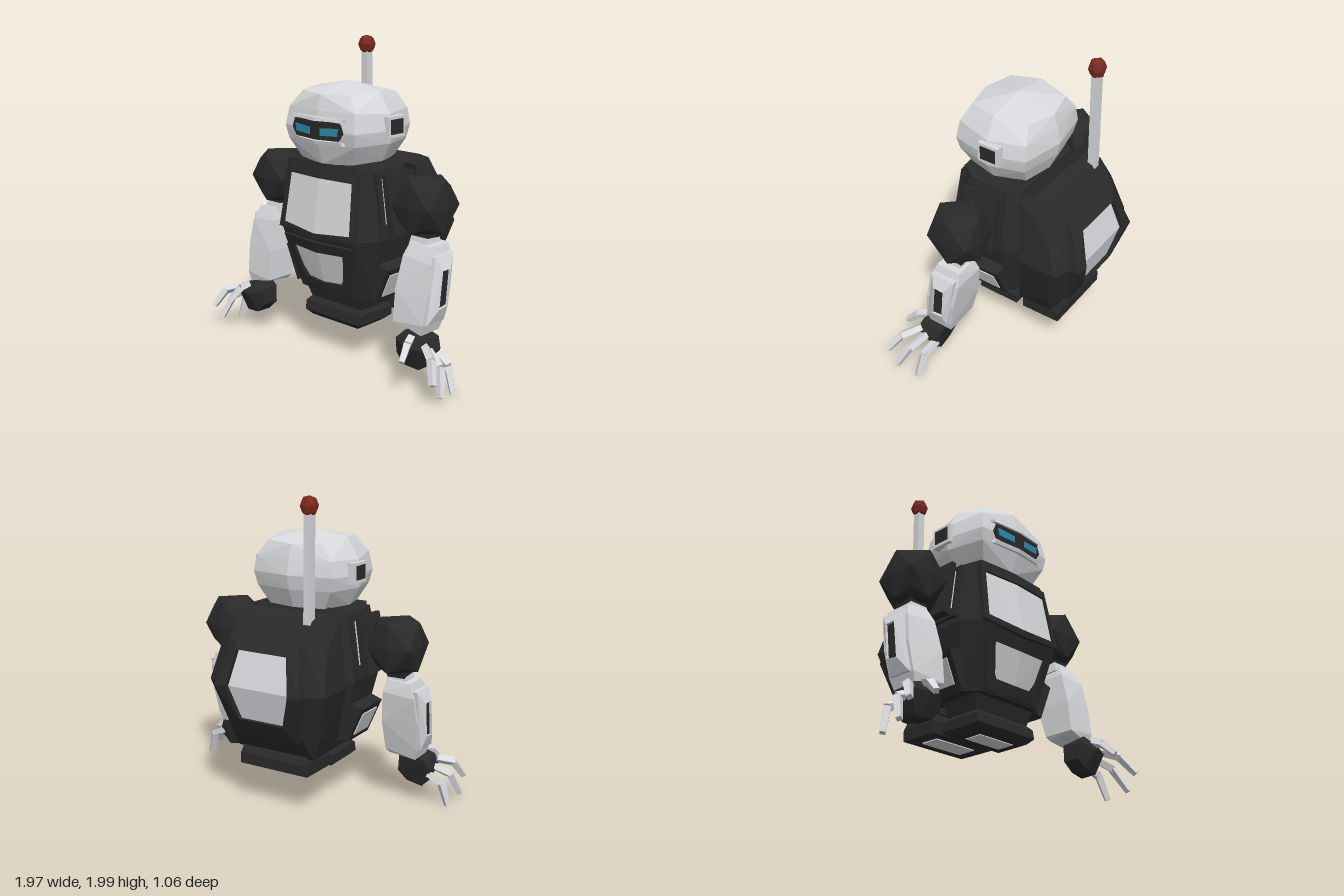
import * as THREE from 'three';
import { ConvexGeometry } from 'three/addons/geometries/ConvexGeometry.js';

const mat = (name, color) => Object.assign(new THREE.MeshStandardMaterial({ color }), { name });
const white = mat('shell white', 0xd8dadd);
const dark = mat('charcoal', 0x2a2a2a);
const red = mat('beacon red', 0x7d2a20);
const blue = mat('eye blue', 0x2a8cac);

const V = (p) => new THREE.Vector3(...p);
const mirror = (pts) => pts.concat(pts.map(([x, y, z]) => [-x, y, z]));
const flip = (pts, s) => pts.map(([x, y, z]) => [x * s, y, z]);

export function createModel() {
  const model = new THREE.Group();
  const body = new THREE.Group();
  body.name = 'robot';
  body.position.x = -0.025;
  model.add(body);

  function add(name, geometry, material, pos) {
    const mesh = new THREE.Mesh(geometry, material);
    mesh.name = name;
    if (pos) mesh.position.set(...pos);
    body.add(mesh);
    return mesh;
  }
  // Angular solid from its corner points
  const hull = (name, pts, material, pos) => add(name, new ConvexGeometry(pts.map(V)), material, pos);
  // Plate on a surface, raised by t along direction n
  function slab(name, pts, n, t, material) {
    const d = V(n).normalize();
    const both = pts.flatMap((p) => [V(p).addScaledVector(d, t), V(p).addScaledVector(d, -0.02)]);
    return add(name, new ConvexGeometry(both), material);
  }
  // Raised border between two matching outlines
  function frame(name, outer, inner, n, t, material, skip = -1) {
    outer.forEach((p, i) => {
      const j = (i + 1) % outer.length;
      if (i !== skip) slab(name, [p, outer[j], inner[j], inner[i]], n, t, material);
    });
  }
  // Faceted ball: face centres, edge middles and corners at their own reach
  function knob(name, half, edge, corner, material, pos) {
    const reach = [0, 1, edge, corner];
    const pts = [];
    for (const x of [-1, 0, 1]) for (const y of [-1, 0, 1]) for (const z of [-1, 0, 1]) {
      const r = reach[Math.abs(x) + Math.abs(y) + Math.abs(z)];
      if (r) pts.push([x * r * half[0], y * r * half[1], z * r * half[2]]);
    }
    return hull(name, pts, material, pos);
  }
  // Square tapered bar between two points
  function bar(name, a, b, ra, rb, material) {
    const d = V(b).sub(V(a));
    const g = new THREE.CylinderGeometry(rb, ra, d.length(), 4).rotateY(Math.PI / 4).toNonIndexed();
    g.computeVertexNormals();
    const m = add(name, g, material);
    m.position.copy(V(a).addScaledVector(d, 0.5));
    m.quaternion.setFromUnitVectors(new THREE.Vector3(0, 1, 0), d.normalize());
  }

  // Head, built from rings running crown to chin
  hull('head', mirror([[0, 1.757, 0.13],
    [0.255, 1.712, 0.13], [0.2, 1.7, 0.33], [0, 1.695, 0.385], [0.2, 1.69, -0.08], [0, 1.68, -0.13],
    [0.335, 1.58, 0.13], [0.275, 1.6, 0.375], [0, 1.6, 0.41], [0.27, 1.59, -0.11], [0, 1.59, -0.155],
    [0.353, 1.48, 0.13], [0.295, 1.48, 0.395], [0, 1.49, 0.425], [0.285, 1.49, -0.12], [0, 1.49, -0.175],
    [0.34, 1.4, 0.13], [0.28, 1.4, 0.38], [0, 1.4, 0.412], [0.27, 1.4, -0.1], [0, 1.4, -0.155],
    [0.275, 1.285, 0.13], [0.22, 1.28, 0.33], [0, 1.262, 0.37], [0.2, 1.28, -0.06], [0, 1.28, -0.1]]), white);
  // Visor between brow and cheek ridges
  hull('brow', mirror([[0, 1.565, 0.438], [0, 1.54, 0.443], [0.21, 1.565, 0.41], [0.2, 1.545, 0.418],
    [0.25, 1.55, 0.34]]), white);
  hull('cheekRidge', mirror([[0, 1.42, 0.438], [0, 1.395, 0.432], [0.19, 1.425, 0.413], [0.2, 1.4, 0.405],
    [0.25, 1.41, 0.34]]), white);
  hull('visor', mirror([[0, 1.535, 0.435], [0.19, 1.54, 0.413], [0.215, 1.48, 0.41], [0.18, 1.43, 0.412],
    [0, 1.425, 0.433], [0.19, 1.48, 0.36]]), dark);
  for (const s of [1, -1]) {
    slab('eye', flip([[0.045, 1.497, 0.43], [0.18, 1.508, 0.415], [0.17, 1.46, 0.416], [0.045, 1.453, 0.43]], s),
      [s * 0.1, 0, 1], 0.006, blue);
    add('earSurround', new THREE.BoxGeometry(0.07, 0.13, 0.15), white, [s * 0.332, 1.503, 0.1]);
    add('earInset', new THREE.BoxGeometry(0.008, 0.09, 0.11), dark, [s * 0.367, 1.505, 0.1]);
  }
  hull('neck', mirror([[0.2, 1.32, 0.3], [0.2, 1.32, -0.03], [0.25, 1.23, 0.33], [0.25, 1.23, -0.06]]), dark);

  // Torso with keeled front
  hull('torso', mirror([[0.27, 1.27, 0.36], [0, 1.27, 0.38], [0.31, 0.83, 0.425], [0, 0.83, 0.45], [0.23, 0.43, 0.32],
    [0, 0.43, 0.34], [0.33, 1.25, 0.25], [0.33, 1.25, 0], [0.4, 0.83, 0.3], [0.4, 0.83, -0.02], [0.32, 0.43, 0.23],
    [0.32, 0.43, 0], [0.28, 1.25, -0.08], [0.3, 0.83, -0.14], [0.25, 0.43, -0.05]]), dark);
  for (const s of [1, -1]) {
    const chestIn = flip([[0, 1.18, 0.396], [0.265, 1.18, 0.375], [0.285, 0.865, 0.422], [0, 0.84, 0.449]], s);
    const chestOut = flip([[0, 1.24, 0.385], [0.29, 1.24, 0.358], [0.325, 0.83, 0.422], [0, 0.8, 0.445]], s);
    slab('chestPanel', chestIn, [0, 0.18, 1], 0.004, white);
    frame('chestFrame', chestOut, chestIn, [0, 0.18, 1], 0.016, dark, 3);
    const bellyIn = flip([[0, 0.72, 0.42], [0.215, 0.73, 0.403], [0.165, 0.52, 0.346], [0, 0.51, 0.362]], s);
    const bellyOut = flip([[0, 0.79, 0.438], [0.29, 0.79, 0.412], [0.22, 0.44, 0.323], [0, 0.44, 0.343]], s);
    slab('bellyPanel', bellyIn, [0, -0.27, 1], 0.004, white);
    frame('bellyFrame', bellyOut, bellyIn, [0, -0.27, 1], 0.018, dark, 3);

    // Shoulder socket: backing, light strip, outer plate
    slab('socketBacking', flip([[0.34, 1.235, 0], [0.34, 1.235, 0.27], [0.4, 0.87, 0.28], [0.4, 0.87, 0]], s),
      [s, 0.18, 0], 0.014, dark);
    slab('socketPanel', flip([[0.345, 1.2, 0.04], [0.345, 1.2, 0.23], [0.395, 0.93, 0.24], [0.395, 0.93, 0.03]], s),
      [s, 0.18, 0], 0.042, white);
    hull('socketPlate', flip([0, 0.26].flatMap((z) => [[0.388, 1.235, z], [0.42, 1.24, z], [0.49, 0.88, z],
      [0.44, 0.87, z]]), s), dark);

    // Hip pockets
    hull('hipPocket', flip([0, 0.27].flatMap((z) => [[0.33, 0.69, z], [0.39, 0.67, z], [0.445, 0.65, z],
      [0.345, 0.42, z], [0.3, 0.45, z]]), s), dark);
    slab('hipPanel', flip([0.04, 0.23].flatMap((z) => [[0.428, 0.61, z], [0.363, 0.46, z]]), s),
      [s, -0.43, 0], 0.006, white);
  }

  // Pelvis
  hull('pelvisUpper', mirror([[0.25, 0.45, 0.29], [0.25, 0.45, 0], [0.21, 0.31, 0.25], [0.21, 0.31, 0.03]]), dark);
  hull('pelvisBase', mirror([[0.215, 0.34, 0.26], [0.215, 0.34, 0.02], [0.24, 0.31, 0.29], [0.24, 0.31, -0.005],
    [0.24, 0.25, 0.3], [0.24, 0.25, -0.005], [0.2, 0.215, 0.27], [0.2, 0.215, 0.04]]), dark);
  add('pelvisPanel', new THREE.BoxGeometry(0.28, 0.008, 0.12), white, [0, 0.214, 0.155]);

  // Backpack, in two halves that follow the bent spine
  const waist = [[0.42, 0.83, -0.42], [0.42, 0.83, -0.16], [0.3, 0.83, -0.47]];
  hull('backpackUpper', mirror([...waist, [0.29, 1.285, -0.2], [0.3, 1.25, -0.29], [0.34, 1.24, -0.1],
    [0.28, 1.1, -0.4], [0.38, 1.08, -0.33]]), dark);
  hull('backpackLower', mirror([...waist, [0.25, 0.53, -0.4], [0.35, 0.55, -0.33], [0.3, 0.4, -0.07],
    [0.28, 0.38, -0.31]]), dark);
  const backUpIn = [[-0.18, 1.06, -0.408], [0.18, 1.06, -0.408], [0.225, 0.83, -0.47], [-0.225, 0.83, -0.47]];
  const backUpOut = [[-0.24, 1.13, -0.35], [0.24, 1.13, -0.35], [0.31, 0.83, -0.47], [-0.31, 0.83, -0.47]];
  const backLowIn = [[-0.16, 0.62, -0.42], [0.16, 0.62, -0.42], [0.225, 0.83, -0.47], [-0.225, 0.83, -0.47]];
  const backLowOut = [[-0.23, 0.5, -0.355], [0.23, 0.5, -0.355], [0.31, 0.83, -0.47], [-0.31, 0.83, -0.47]];
  slab('backPanelUpper', backUpIn, [0, 0, -1], 0.03, white);
  slab('backPanelLower', backLowIn, [0, 0, -1], 0.03, white);
  frame('backFrame', backUpOut, backUpIn, [0, 0, -1], 0.06, dark, 2);
  frame('backFrame', backLowOut, backLowIn, [0, 0, -1], 0.06, dark, 2);
  hull('backpackBase', mirror([[0.23, 0.43, -0.1], [0.23, 0.43, -0.3], [0.25, 0.34, -0.34], [0.25, 0.27, -0.34],
    [0.25, 0.265, -0.065], [0.25, 0.34, -0.065]]), dark);
  add('backpackBasePanel', new THREE.BoxGeometry(0.32, 0.008, 0.13), white, [0, 0.264, -0.2]);

  // Antenna
  bar('antennaRod', [-0.225, 1.2, -0.28], [-0.225, 1.91, -0.28], 0.036, 0.036, white);
  knob('antennaBeacon', [0.05, 0.06, 0.05], 0.82, 0.62, red, [-0.225, 1.94, -0.28]);

  // Arms
  for (const s of [1, -1]) {
    knob('shoulder', [0.16, 0.178, 0.167], 0.88, 0.64, dark, [s * 0.62, 1.072, 0.132]);
    bar('shoulderAxle', [s * 0.4, 1.06, 0.13], [s * 0.5, 1.06, 0.13], 0.07, 0.07, dark);
    bar('upperArm', [s * 0.635, 0.95, 0.135], [s * 0.635, 0.86, 0.145], 0.1, 0.08, dark);
    bar('elbow', [s * 0.635, 0.885, 0.145], [s * 0.635, 0.82, 0.15], 0.085, 0.1, white);
    hull('forearm', flip([[0.59, 0.86, 0.06], [0.59, 0.86, 0.23], [0.74, 0.85, 0.06], [0.74, 0.85, 0.23],
      [0.565, 0.78, 0.04], [0.565, 0.78, 0.27], [0.77, 0.76, 0.05], [0.77, 0.76, 0.27],
      [0.55, 0.58, 0.07], [0.55, 0.58, 0.32], [0.785, 0.58, 0.09], [0.785, 0.58, 0.3],
      [0.55, 0.38, 0.13], [0.55, 0.38, 0.34], [0.77, 0.4, 0.13], [0.77, 0.4, 0.33],
      [0.57, 0.35, 0.15], [0.75, 0.33, 0.15], [0.75, 0.33, 0.32]], s), white);
    // Bulged outer arm guard with dark slot
    const outer = flip([[0.765, 0.8, 0.07], [0.765, 0.8, 0.24], [0.765, 0.4, 0.31], [0.765, 0.4, 0.15]], s);
    const inner = flip([[0.8, 0.72, 0.135], [0.8, 0.72, 0.21], [0.8, 0.49, 0.24], [0.8, 0.5, 0.16]], s);
    frame('armGuard', outer, inner, [s, 0, 0], 0.022, white);
    slab('armSlot', inner, [s, 0, 0], 0.005, dark);

    // Palm, tapering down from a slanted wrist
    hull('palm', flip([[0.68, 0.35, 0.21], [0.66, 0.36, 0.35], [0.79, 0.31, 0.2], [0.79, 0.32, 0.36],
      [0.6, 0.31, 0.23], [0.6, 0.3, 0.37], [0.82, 0.25, 0.22], [0.82, 0.27, 0.38], [0.59, 0.2, 0.24],
      [0.59, 0.2, 0.35], [0.65, 0.14, 0.25], [0.65, 0.14, 0.36], [0.76, 0.125, 0.24], [0.76, 0.13, 0.35],
      [0.825, 0.19, 0.24], [0.7, 0.27, 0.41]], s), dark);
    // Fingers, with the right hand curled in slightly
    const curl = s > 0 ? 1 : 0.72;
    const reach = ([x, y, z]) => [s * (x > 0.83 ? 0.83 + (x - 0.83) * curl : x), y, z];
    const fingers = [
      [[0.8, 0.22, 0.24], [0.91, 0.17, 0.26], [0.965, 0.015, 0.28]],
      [[0.81, 0.25, 0.31], [0.93, 0.2, 0.36], [0.99, 0.05, 0.43]],
      [[0.81, 0.29, 0.35], [0.92, 0.26, 0.43], [0.985, 0.15, 0.5]],
      [[0.72, 0.33, 0.37], [0.74, 0.31, 0.43], [0.765, 0.23, 0.51]],
    ];
    for (const f of fingers) {
      const [a, b, c] = f.map(reach);
      bar('fingerBase', a, b, 0.028, 0.03, white);
      bar('fingerTip', b, c, 0.03, 0.022, white);
    }
  }
  return model;
}
